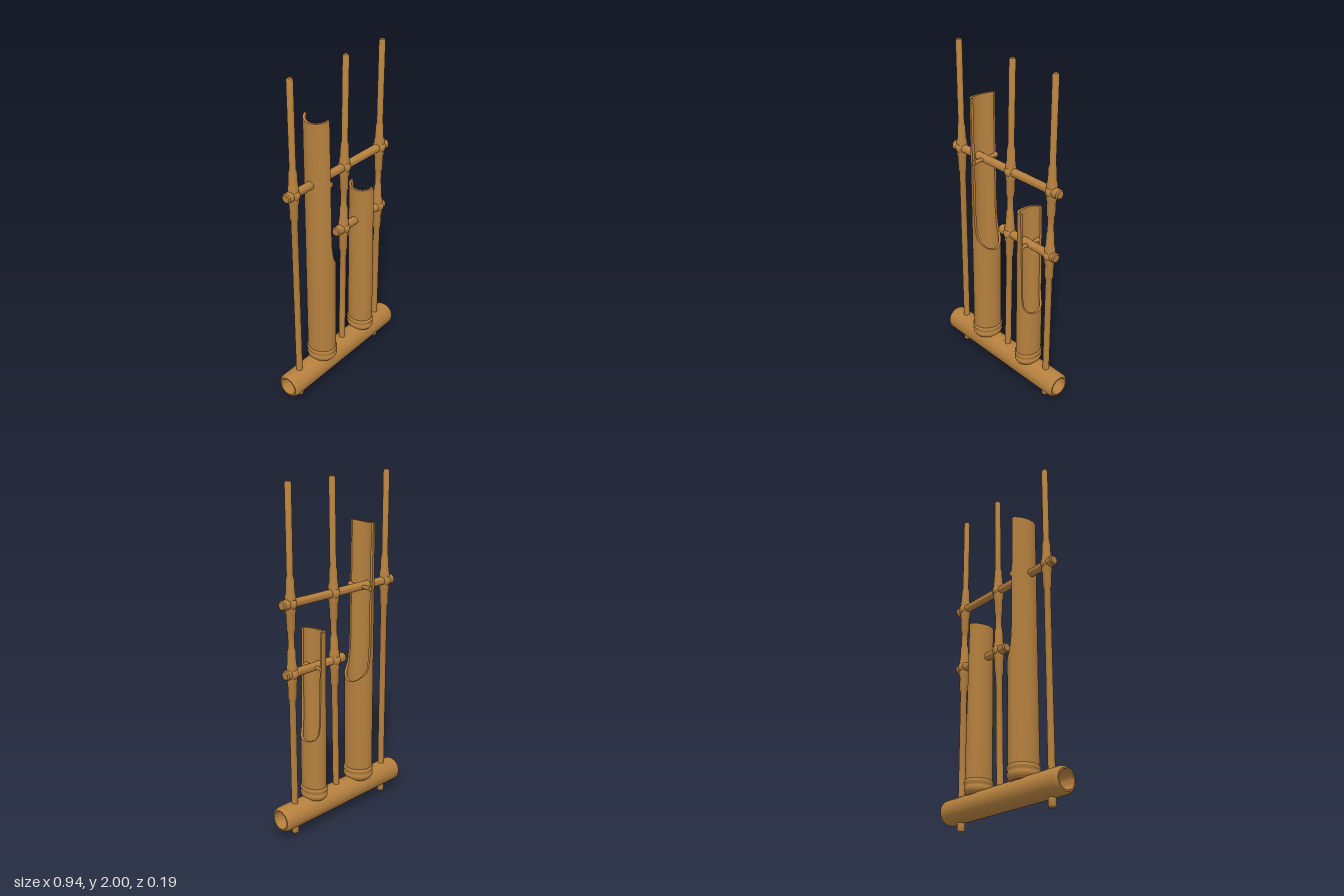
import * as THREE from 'three';
import { toCreasedNormals } from 'three/addons/utils/BufferGeometryUtils.js';

const bamboo = new THREE.MeshStandardMaterial({ color: 0xb5803e });
bamboo.name = 'bamboo';

function add(parent, name, geometry) {
  const mesh = new THREE.Mesh(geometry, bamboo);
  mesh.name = name;
  parent.add(mesh);
  return mesh;
}

// Turned solid from [radius, height] pairs, with crisp edges kept
function turned(profile, segments = 28) {
  const points = profile.map(([r, y]) => new THREE.Vector2(r, y));
  return toCreasedNormals(new THREE.LatheGeometry(points, segments), 0.6);
}

// Upright pole with a swollen sleeve at every crossing, leaning by dx over its length
function pole(parent, name, x0, x1, y0, sleeves) {
  const profile = [[0, y0], [0.017, y0], [0.021, y0 + 0.006], [0.021, y0 + 0.05], [0.019, y0 + 0.06]];
  for (const c of sleeves) {
    profile.push([0.019, c - 0.155], [0.024, c - 0.14], [0.025, c - 0.06], [0.029, c - 0.045],
      [0.031, c], [0.029, c + 0.045], [0.025, c + 0.06], [0.023, c + 0.13], [0.018, c + 0.15]);
  }
  profile.push([0.018, 1.99], [0.013, 2], [0, 2]);
  const geometry = turned(profile, 20);
  geometry.applyMatrix4(new THREE.Matrix4().makeShear((x1 - x0) / 2, 0, 0, 0, 0, 0));
  // shear along x as a function of height
  const p = geometry.attributes.position;
  const source = turned(profile, 20).attributes.position;
  for (let i = 0; i < p.count; i++) {
    const y = source.getY(i);
    p.setXYZ(i, source.getX(i) + x0 + (x1 - x0) * y / 2, y, source.getZ(i));
  }
  add(parent, name, geometry);
  // lashed knots at the crossings
  for (const c of sleeves) {
    const knot = add(parent, name + 'Knot', new THREE.SphereGeometry(1, 20, 14));
    knot.scale.set(0.032, 0.036, 0.04);
    knot.position.set(x0 + (x1 - x0) * c / 2, c, 0);
  }
}

// Horizontal rod with thicker ends
function crossbar(parent, name, xa, xb, y) {
  const h = (xb - xa) / 2;
  const half = [[0, -h], [0.022, -h], [0.028, -h + 0.008], [0.029, -h + 0.075], [0.024, -h + 0.09]];
  const other = half.map(([r, v]) => [r, -v]).reverse();
  const bar = add(parent, name, turned([...half, ...other]));
  bar.rotation.z = -Math.PI / 2;
  bar.position.set((xa + xb) / 2, y, 0);
}

// Strip of quads between two closed loops of points
function strip(lower, upper, flip) {
  const n = lower.length, index = [];
  for (let i = 0; i < n; i++) {
    const j = (i + 1) % n;
    const quad = [i, n + i, j, j, n + i, n + j];
    index.push(...(flip ? quad.reverse() : quad));
  }
  const g = new THREE.BufferGeometry();
  g.setAttribute('position', new THREE.Float32BufferAttribute([...lower, ...upper].flat(), 3));
  g.setIndex(index);
  g.computeVertexNormals();
  return g;
}

// Hollow rattle tube: cut lists [x, height] of the rim from the open side to the back
function rattleTube(parent, name, x, rx, rz, cut, pinY) {
  const tube = new THREE.Group();
  tube.name = name;
  tube.position.x = x;
  parent.add(tube);

  const half = [];
  for (let s = 0; s < cut.length - 1; s++) {
    const [xa, ya] = cut[s], [xb, yb] = cut[s + 1];
    const a = Math.acos(xa / rx), b = Math.acos(xb / rx);
    const steps = Math.max(2, Math.ceil((b - a) / 0.12));
    for (let k = 0; k < steps; k++) {
      const t = a + (b - a) * k / steps;
      half.push([t, ya + (yb - ya) * (rx * Math.cos(t) - xa) / (xb - xa)]);
    }
  }
  half.push([Math.PI, cut[cut.length - 1][1]]);
  const columns = [...half, ...half.slice(1, -1).reverse().map(([t, y]) => [-t, y])];
  const wall = 0.014, floorY = 0.25;
  const loop = (inset, height) => columns.map(([t, y]) =>
    [(rx - inset) * Math.cos(t), height ?? y, (rz - inset) * Math.sin(t)]);
  add(tube, name + 'Outside', strip(loop(0, 0.2), loop(0), false));
  add(tube, name + 'Inside', strip(loop(wall, floorY), loop(wall), true));
  add(tube, name + 'Rim', toCreasedNormals(strip(loop(0), loop(wall), false), 0.4));

  // closed node at the foot, with two raised rings
  const foot = add(tube, name + 'Foot', turned([[0, 0.172], [rx - 0.014, 0.172], [rx - 0.002, 0.182],
    [rx + 0.004, 0.195], [rx + 0.005, 0.207], [rx, 0.216], [rx, 0.224], [rx + 0.006, 0.234],
    [rx + 0.006, 0.244], [rx, 0.254], [rx - 0.004, 0.256], [rx - 0.004, floorY], [0, floorY]], 40));
  foot.scale.z = rz / rx;

  // pin holding the tube on its crossbar, flaring at both walls
  const e = rz - 0.004;
  const pin = add(tube, name + 'Pin', turned([[0, -e], [0.016, -e], [0.011, -e + 0.02],
    [0.01, 0], [0.011, e - 0.02], [0.016, e], [0, e]], 16));
  pin.rotation.x = Math.PI / 2;
  pin.position.set(-0.005, pinY, 0);
}

export function createModel() {
  const model = new THREE.Group();
  model.name = 'bambooRattle';

  // Hollow base tube with bevelled ends
  const base = add(model, 'baseTube', turned([[0.052, -0.47], [0.06, -0.47], [0.07, -0.458], [0.073, -0.445],
    [0.073, 0.445], [0.07, 0.458], [0.06, 0.47], [0.052, 0.47], [0.052, -0.47]], 40));
  base.rotation.z = -Math.PI / 2;
  base.position.y = 0.12;

  // Frame
  const upper = 1.365, lower = 0.975;
  pole(model, 'rightPole', -0.366, -0.37, 0, [upper]);
  pole(model, 'middlePole', 0.026, 0.056, 0.13, [lower, upper]);
  pole(model, 'leftPole', 0.358, 0.364, 0, [lower, upper]);
  crossbar(model, 'upperCrossbar', -0.43, 0.425, upper);
  crossbar(model, 'lowerCrossbar', -0.032, 0.412, lower);

  // Rattle tubes
  rattleTube(model, 'tallTube', -0.16, 0.08, 0.087, [[0.08, 0.812], [0.055, 0.838], [0.025, 0.868],
    [0.012, 0.89], [0.004, 0.92], [-0.004, 0.97], [-0.007, 1.03], [-0.017, 1.737], [-0.08, 1.72]], upper);
  rattleTube(model, 'shortTube', 0.208, 0.0665, 0.08, [[0.0665, 0.548], [0.05, 0.558], [0.037, 0.572],
    [0.026, 0.595], [0.0185, 0.65], [0.005, 1.19], [-0.0665, 1.177]], lower);

  return model;
}
